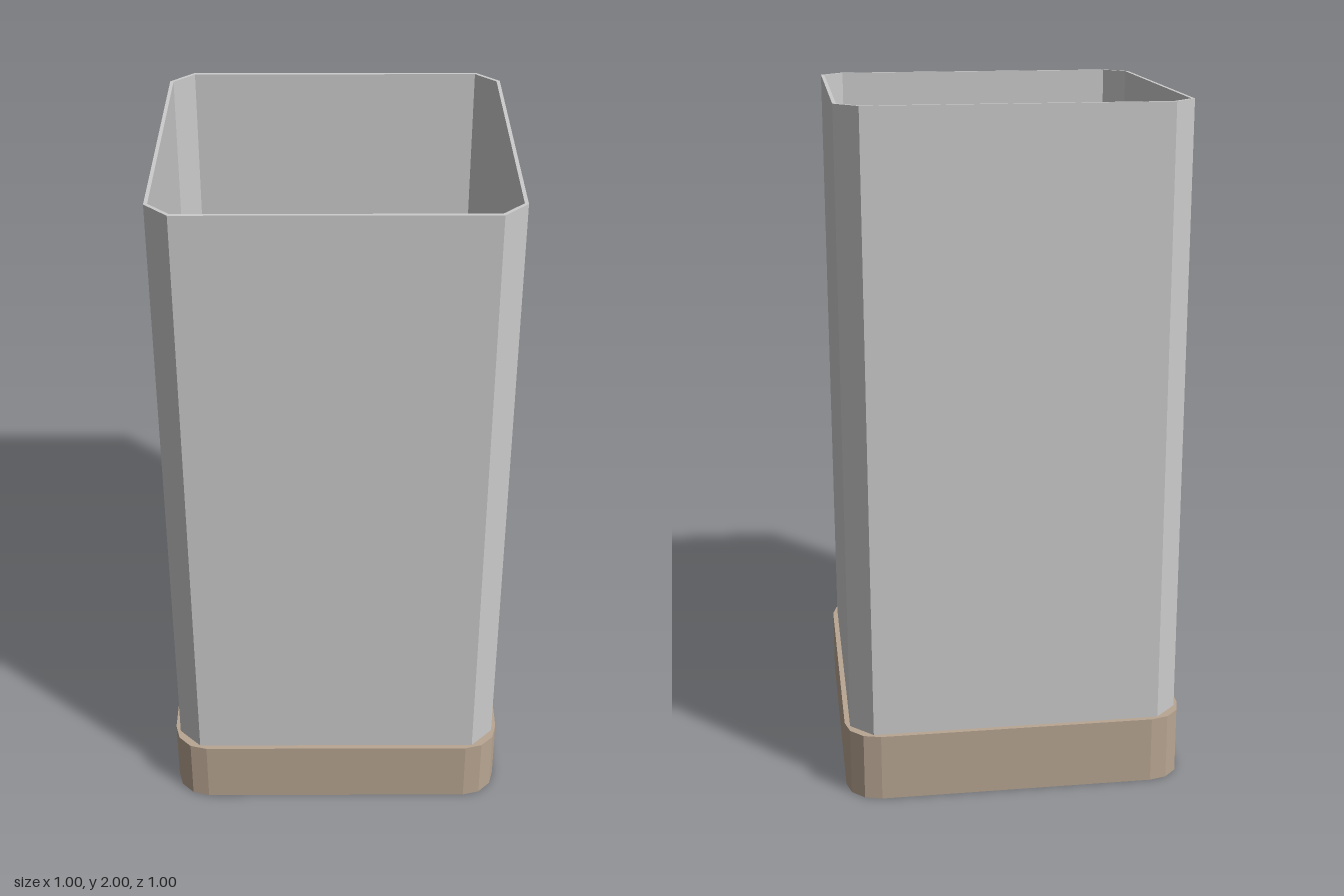
import * as THREE from 'three';

const brown = new THREE.MeshStandardMaterial({ color: 0xb9a692, flatShading: true });
const grey = new THREE.MeshStandardMaterial({ color: 0xcccccc, flatShading: true });

// Square outline with rounded corners (centres at 0.4), three facets per corner
function roundedRing(r, y) {
  const ring = [];
  for (let c = 0; c < 4; c++) {
    const mid = Math.PI / 4 + c * Math.PI / 2;
    const cx = 0.4 * Math.sign(Math.cos(mid)), cz = -0.4 * Math.sign(Math.sin(mid));
    for (let s = 0; s <= 3; s++) {
      const a = c * Math.PI / 2 + s * Math.PI / 6;
      ring.push([cx + r * Math.cos(a), y, cz - r * Math.sin(a)]);
    }
  }
  return ring;
}

// Join rings with quads and close both ends
function loft(rings) {
  const pos = [], n = rings[0].length;
  const tri = (...p) => p.forEach(v => pos.push(...v));
  for (let k = 0; k < n; k++) {
    const m = (k + 1) % n, first = rings[0], last = rings[rings.length - 1];
    for (let i = 0; i < rings.length - 1; i++) {
      const lo = rings[i], hi = rings[i + 1];
      tri(lo[k], lo[m], hi[m]);
      tri(lo[k], hi[m], hi[k]);
    }
    tri([0, first[0][1], 0], first[m], first[k]);
    tri([0, last[0][1], 0], last[k], last[m]);
  }
  const g = new THREE.BufferGeometry();
  g.setAttribute('position', new THREE.Float32BufferAttribute(pos, 3));
  g.computeVertexNormals();
  return g;
}

// Square with cut corners: h is half the width, f half the flat side
function octagon(h, f) {
  return [[h, -f], [h, f], [f, h], [-f, h], [-h, f], [-h, -f], [-f, -h], [f, -h]]
    .map(([x, y]) => new THREE.Vector2(x, y));
}

export function createModel() {
  const model = new THREE.Group();
  const add = (name, geometry, material) => {
    const mesh = new THREE.Mesh(geometry, material);
    mesh.name = name;
    model.add(mesh);
    return mesh;
  };

  // Base tray: outer side, flat rim, sloped recess and floor
  add('base', loft([
    roundedRing(0.1, 0), roundedRing(0.1, 0.2), roundedRing(0.075, 0.2),
    roundedRing(0.055, 0.17), roundedRing(0.05, 0.14),
  ]), brown);

  // Thin open-topped sleeve with chamfered corners
  const outline = new THREE.Shape(octagon(0.485, 0.42));
  outline.holes.push(new THREE.Path(octagon(0.475, 0.416).reverse()));
  const sleeve = new THREE.ExtrudeGeometry(outline, { depth: 1.82, bevelEnabled: false });
  sleeve.rotateX(-Math.PI / 2).translate(0, 0.18, 0);
  add('sleeve', sleeve, grey);

  // Stepped stud in the middle of the floor
  add('studFoot', new THREE.CylinderGeometry(0.056, 0.056, 0.02, 10), brown).position.y = 0.15;
  add('studTop', new THREE.CylinderGeometry(0.04, 0.04, 0.02, 10), brown).position.y = 0.165;

  return model;
}
